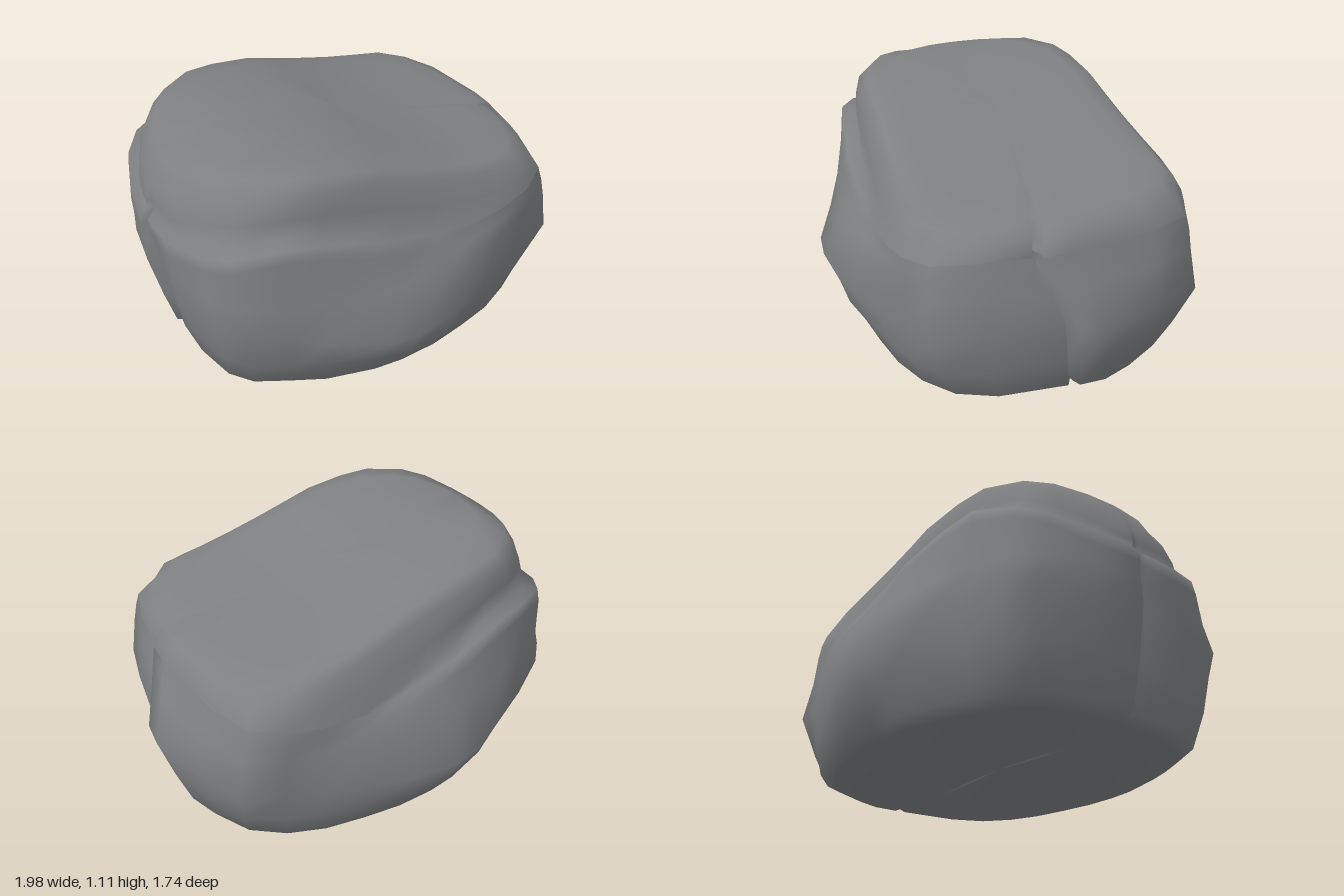
import * as THREE from 'three';

const stone = new THREE.MeshStandardMaterial({ color: 0x7e8082 });
stone.name = 'stoneGrey';

// Half outlines [x, z] running from the left seam, round the front, to the right seam
const foot = [[-.87, .03], [-.86, .22], [-.81, .41], [-.73, .51], [-.58, .59], [-.44, .66], [-.22, .72],
  [-.08, .735], [.1, .73], [.28, .7], [.46, .66], [.62, .59], [.75, .48], [.83, .31], [.87, 0]];
const bulge = [[-.93, .03], [-.95, .26], [-.88, .53], [-.79, .62], [-.61, .69], [-.48, .76], [-.23, .855],
  [-.1, .87], [.1, .85], [.3, .79], [.48, .72], [.65, .65], [.82, .61], [.88, .38], [.94, .06]];
const shoulder = [[-.96, .03], [-.95, .22], [-.88, .43], [-.8, .54], [-.62, .63], [-.45, .66], [-.22, .69],
  [-.08, .69], [.1, .69], [.28, .69], [.46, .68], [.62, .65], [.76, .57], [.82, .38], [.85, .18]];
const crown = [[-.91, .03], [-.89, .17], [-.82, .32], [-.73, .43], [-.57, .54], [-.42, .57], [-.22, .59],
  [-.08, .59], [.1, .6], [.28, .61], [.46, .61], [.6, .59], [.7, .49], [.77, .33], [.8, .16]];

// Piecewise linear height along x
const curve = (pts) => (x) => {
  for (let i = 1; i < pts.length; i++) {
    const [a, ya] = pts[i - 1], [b, yb] = pts[i];
    if (x <= b) return ya + (yb - ya) * Math.max(0, (x - a) / (b - a));
  }
  return pts[pts.length - 1][1];
};
const topY = curve([[-.95, .93], [-.85, 1.05], [-.76, 1.09], [-.65, 1.11], [-.4, 1.09], [-.15, 1.05],
  [0, 1], [.25, .93], [.42, .895], [.8, .85]]);
const ledgeY = curve([[-.97, .73], [-.85, .81], [-.6, .86], [-.43, .83], [-.2, .77], [0, .71], [.25, .66],
  [.5, .68], [.8, .73]]);
const bulgeY = curve([[-.95, .47], [-.6, .4], [-.15, .33], [.5, .33], [.95, .41]]);
const ledgeDepth = curve([[-.97, .035], [-.85, .07], [-.6, .08], [-.2, .06], [.1, .03], [.3, 0]]);
const crownDrop = curve([[-.95, .1], [-.5, .07], [0, .06], [.8, .025]]);

const blend = (a, b, t, push = 0) => a.map(([x, z], i) => {
  const k = 1 + push;
  return [(x + (b[i][0] - x) * t) * k, (z + (b[i][1] - z) * t) * k];
});
const scaled = (a, k) => a.map(([x, z]) => [x * k, z * k]);
const inset = (a) => a.map(([x, z]) => {
  const k = 1 - ledgeDepth(x) / Math.hypot(x, z);
  return [x * k, z * k];
});

// Levels from under the base to the top: outline, height, seam depths, back offset, dent strength
const levels = [
  { o: scaled(foot, 0), y: () => .03, l: 0, r: 0, back: 0 },
  { o: scaled(foot, .5), y: () => .005, l: 0, r: 0, back: .01, under: .03 },
  { o: scaled(foot, .92), y: () => 0, l: .02, r: .02, back: .01, under: .03 },
  { o: foot, y: () => .04, l: .03, r: .04, back: .02 },
  { o: blend(foot, bulge, .5), y: (x) => bulgeY(x) * .5, l: .04, r: .04, back: .04, dent: .008 },
  { o: bulge, y: bulgeY, l: .04, r: .05, back: .06, dent: .005 },
  { o: blend(bulge, shoulder, .5), y: (x) => .55 + .04 * x * x, l: .05, r: .06, back: .035, dent: .01 },
  { o: blend(bulge, shoulder, .85, .005), y: (x) => ledgeY(x) - .06, l: .05, r: .06, back: .025, dent: .006 },
  { o: shoulder, y: ledgeY, l: .04, r: .06, back: .02 },
  { o: inset(shoulder), y: (x) => ledgeY(x) + .005, l: .01, r: .06, back: .02 },
  { o: blend(inset(shoulder), crown, .5, .01), l: 0, r: .06, back: .02, dent: .005,
    y: (x) => (ledgeY(x) + topY(x) - crownDrop(x)) / 2 },
  { o: crown, y: (x) => topY(x) - crownDrop(x), l: 0, r: .05, back: .015 },
  { o: scaled(crown, .93), y: (x) => topY(x) - crownDrop(x) * .25, l: 0, r: .03, back: .01, over: .02 },
  { o: scaled(crown, .78), y: topY, l: 0, r: 0, back: 0, over: .01 },
  { o: scaled(crown, .5), y: topY, l: 0, r: 0, back: 0 },
  { o: scaled(crown, .25), y: topY, l: 0, r: 0, back: 0 },
  { o: scaled(crown, 0), y: topY, l: 0, r: 0, back: 0 },
];

// Full ring: front half, right seam, back half, left seam
function makeRing({ o, y, l, r, back, dent = 0, under = 0, over = 0 }) {
  const n = o.length - 1;
  const at = (x, z, seamY = 0) => {
    const h = y(x);
    const k = 1 + dent * (Math.sin(x * 9 + h * 11) + Math.sin(x * 5 - h * 17 + z * 4));
    return [x, h + seamY, z * k];
  };
  const size = Math.min(1, Math.abs(o[0][0]) / .8);
  const ring = o.map(([x, z]) => at(x, z));
  const [rx, rz] = o[n];
  ring.push(at(rx - r, rz - .025 * size, under - over));
  ring.push(at(rx + back * .75, rz - .05 * size));
  ring.push(at(rx + back, rz - .17 * size));
  for (let i = n - 1; i >= 0; i--) {
    const shift = back * Math.max(0, 1 - (n - i) * .3);
    ring.push(at(o[i][0] + shift - (i === 0 ? back * .8 : 0), -o[i][1]));
  }
  ring.push(at(o[0][0] + l, 0, under));
  return ring;
}

function boulderGeometry() {
  const rings = levels.map(makeRing);
  const count = rings[0].length;
  const index = [];
  for (let j = 0; j < rings.length - 1; j++) {
    for (let i = 0; i < count; i++) {
      const a = j * count + i, b = j * count + (i + 1) % count;
      // The first and last rings are single points, so each gets a plain fan
      if (j > 0) index.push(a, b, b + count);
      if (j < rings.length - 2) index.push(a, b + count, a + count);
    }
  }
  const geometry = new THREE.BufferGeometry();
  geometry.setAttribute('position', new THREE.Float32BufferAttribute(rings.flat(2), 3));
  geometry.setIndex(index);
  geometry.computeVertexNormals();
  return geometry;
}

export function createModel() {
  const group = new THREE.Group();
  group.name = 'rock';
  const boulder = new THREE.Mesh(boulderGeometry(), stone);
  boulder.name = 'boulder';
  group.add(boulder);
  return group;
}
